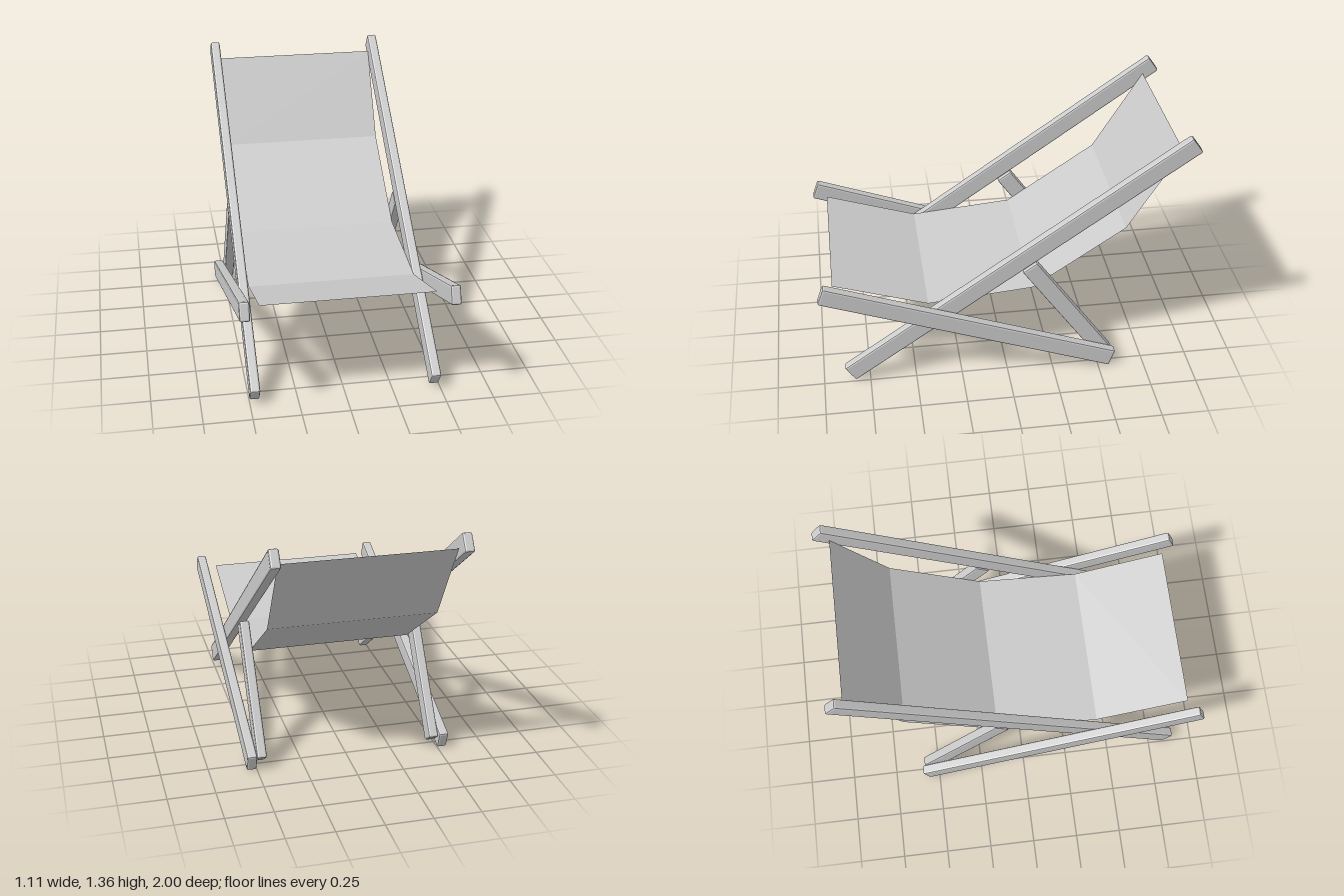
import * as THREE from 'three';
import { RoundedBoxGeometry } from 'three/addons/geometries/RoundedBoxGeometry.js';

const wood = new THREE.MeshStandardMaterial({ color: 0xcccccc, flatShading: true });
const cloth = new THREE.MeshStandardMaterial({ color: 0xcccccc, flatShading: true, side: THREE.DoubleSide });

// Chamfered bar running between two [z, y] points in the plane at x
function bar(name, x, [z0, y0], [z1, y1], depth) {
  const dz = z1 - z0, dy = y1 - y0;
  const mesh = new THREE.Mesh(
    new RoundedBoxGeometry(0.053, depth, Math.hypot(dz, dy), 1, 0.01), wood);
  mesh.position.set(x, (y0 + y1) / 2, (z0 + z1) / 2);
  mesh.rotation.x = -Math.atan2(dy, dz);
  mesh.name = name;
  return mesh;
}

// Thin sling folded into flat panels along a [z, y] profile
function sling(profile, halfWidth) {
  const geo = new THREE.PlaneGeometry(halfWidth * 2, 1, 1, profile.length - 1);
  const pos = geo.attributes.position;
  for (let i = 0; i < pos.count; i++) {
    const [z, y] = profile[Math.floor(i / 2)];
    pos.setXYZ(i, pos.getX(i), y, z);
  }
  geo.computeVertexNormals();
  const mesh = new THREE.Mesh(geo, cloth);
  mesh.name = 'fabricSling';
  return mesh;
}

export function createModel() {
  const chair = new THREE.Group();
  chair.name = 'deckChair';

  // Wooden frame, mirrored on both sides
  for (const [side, s] of [['left', 1], ['right', -1]]) {
    chair.add(
      bar(side + 'BackRail', s * 0.473, [0.858, 0.053], [-0.972, 1.333], 0.1),
      bar(side + 'SeatRail', s * 0.527, [-0.577, 0.051], [0.985, 0.62], 0.1),
      bar(side + 'Strut', s * 0.473, [-0.545, 0.055], [-0.118, 0.662], 0.093));
  }

  // Fabric from the top of the back down to the front edge of the seat
  chair.add(sling([[-0.91, 1.28], [-0.635, 0.835], [-0.14, 0.5], [0.42, 0.45], [0.92, 0.612]], 0.447));
  return chair;
}
